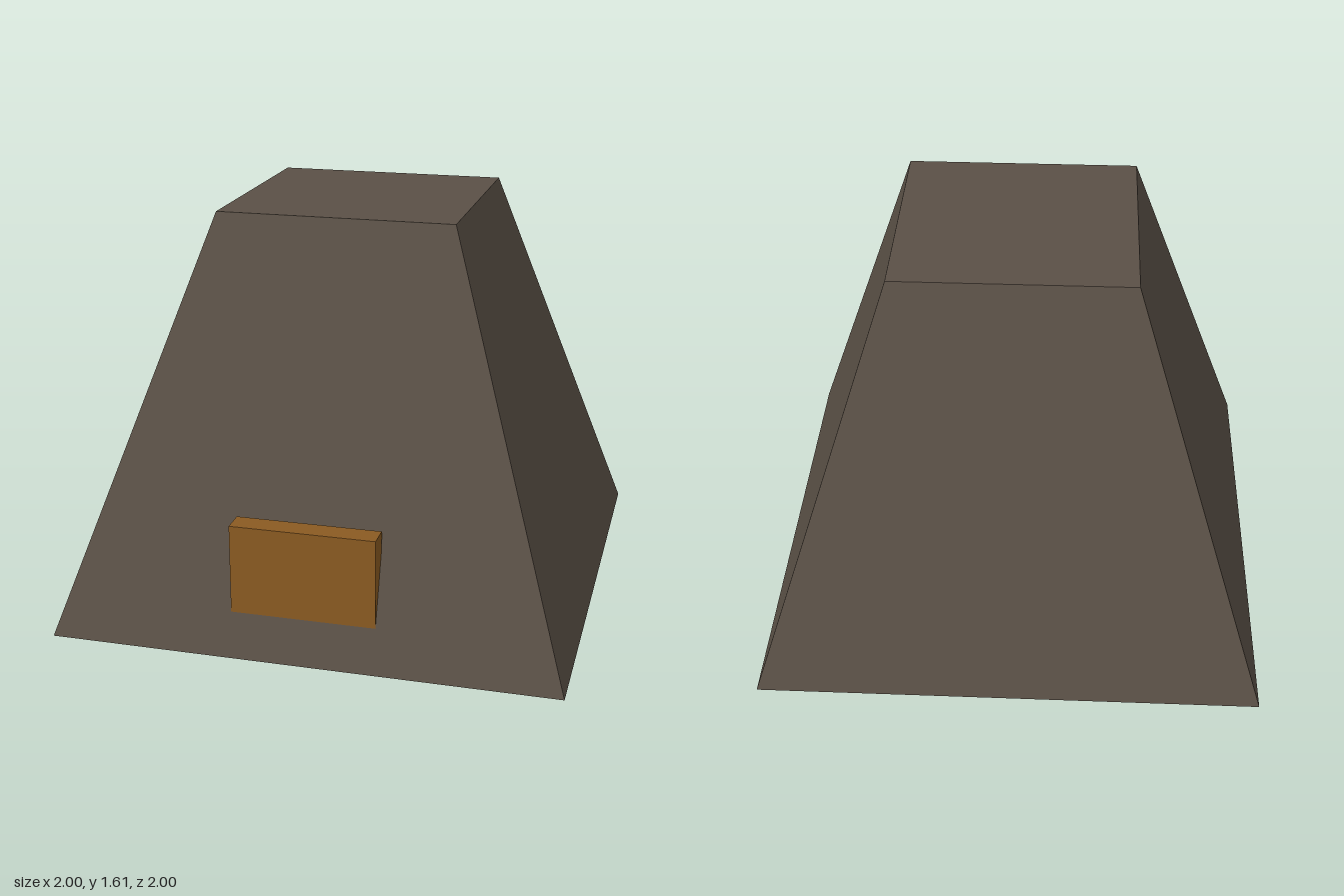
import * as THREE from 'three';

// Box standing on y = 0 with no underside; taper scales its top
function openBox(width, height, depth, taper = 1) {
  const geo = new THREE.BoxGeometry(width, height, depth).translate(0, height / 2, 0);
  const index = Array.from(geo.index.array);
  index.splice(18, 6); // the fourth side is the underside
  geo.setIndex(index);
  geo.clearGroups();
  const pos = geo.attributes.position;
  for (let i = 0; i < pos.count; i++) {
    if (pos.getY(i) > height / 2) {
      pos.setX(i, pos.getX(i) * taper);
      pos.setZ(i, pos.getZ(i) * taper);
    }
  }
  geo.computeVertexNormals();
  return geo;
}

export function createModel() {
  const model = new THREE.Group();
  model.name = 'taperedHousing';

  const brown = new THREE.MeshStandardMaterial({ color: 0x5a5046, side: THREE.DoubleSide });
  brown.name = 'darkBrown';
  const amber = new THREE.MeshStandardMaterial({ color: 0x8b5b22, side: THREE.DoubleSide });
  amber.name = 'amber';

  // Hollow four-sided shell, closed on top
  const shell = new THREE.Mesh(openBox(2, 1.605, 2, 0.467), brown);
  shell.name = 'shell';
  model.add(shell);

  // Hollow box set through the front wall
  const panel = new THREE.Mesh(openBox(0.565, 0.375, 0.095), amber);
  panel.name = 'frontPanel';
  panel.position.set(0, 0.145, 0.897);
  model.add(panel);

  return model;
}
